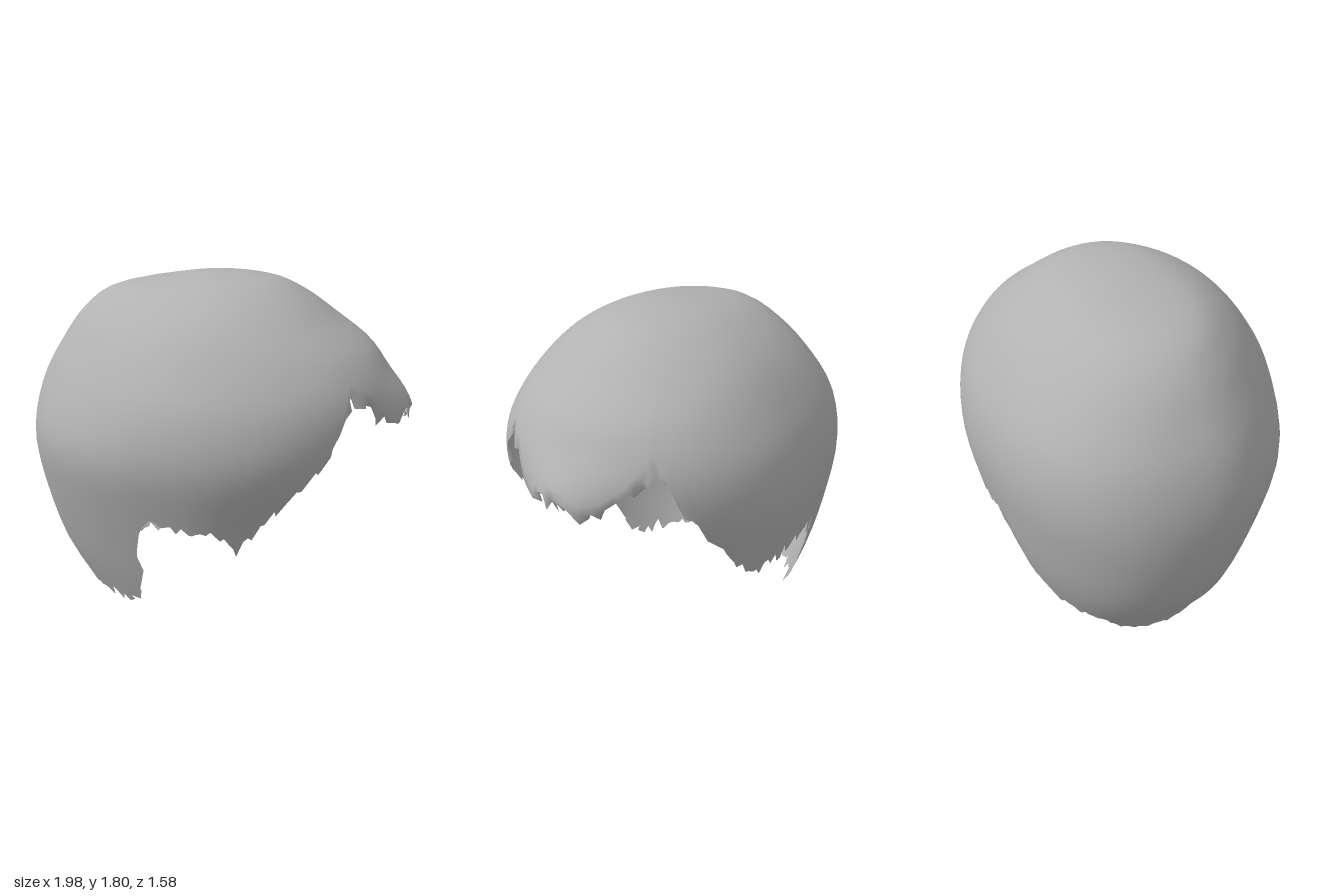
import * as THREE from 'three';

const TOP = 1.803, COLS = 180, ROWS = 30, STEP = 0.15;
const { smoothstep, lerp, radToDeg } = THREE.MathUtils;

// Reach of each horizontal section; knots are evenly spaced in u = sqrt(TOP - y)
const BACK = [0, 0.23, 0.56, 0.72, 0.835, 0.945, 0.998, 0.98, 0.89, 0.68];
const FRONT = [0, 0.27, 0.43, 0.59, 0.79, 0.885, 0.84, 0.66, 0.52, 0.45];
const SIDE = [0, 0.21, 0.375, 0.53, 0.655, 0.76, 0.79, 0.725, 0.625, 0.5];

// Height of the cut edge by angle from the forehead, for each side of the head
const NAPE = [[75, 0.64], [82, 0.67], [101, 0.69], [105, 0.56], [107, 0.42], [110, 0.26], [117, 0.16], [142, 0.14]];
const RIM_LEFT = [[0, 1.15], [5, 1.15], [9, 1.09], [15, 1.12], [22, 1.24], [33, 1.31], [36, 1.2], [40, 1.06],
  [46, 0.9], [54, 0.76], [61, 0.62], [67, 0.56], ...NAPE, [155, 0.11], [168, 0.05], [180, 0.02]];
const RIM_RIGHT = [[0, 1.15], [6, 1.14], [12, 1.09], [18, 1.11], [25, 1.18], [34, 1.32], [39, 1.2], [46, 1.0],
  [54, 0.8], [61, 0.66], [67, 0.6], ...NAPE, [152, 0.06], [166, 0.03], [180, 0.02]];

function knots(table, u) {
  const n = table.length - 1;
  const i = Math.min(Math.floor(u / STEP), n - 1), f = u / STEP - i;
  const a = i ? table[i - 1] : -table[1], b = table[i], c = table[i + 1], d = table[Math.min(i + 2, n)];
  return b + 0.5 * f * (c - a + f * (2 * a - 5 * b + 4 * c - d + f * (3 * (b - c) + d - a)));
}

function rimHeight(angle) {
  const deg = Math.abs(radToDeg(angle));
  const rim = angle >= 0 ? RIM_LEFT : RIM_RIGHT;
  let i = 0;
  while (i < rim.length - 2 && deg > rim[i + 1][0]) i++;
  const [d0, y0] = rim[i], [d1, y1] = rim[i + 1];
  return lerp(y0, y1, Math.min(1, (deg - d0) / (d1 - d0)));
}

// The rear quarters differ: fuller on the right, flatter high on the left
function rearQuarter(a, c, s, u) {
  if (c > 0) return 0;
  const amount = s < 0
    ? 0.06 * smoothstep(u, 0.3, 0.7)
    : -0.045 * smoothstep(u, 0.2, 0.45) * (1 - smoothstep(u, 0.7, 0.95));
  return amount * Math.sin(2 * a) ** 2;
}

function shellPoint(a, u) {
  const c = Math.cos(a), s = Math.sin(a);
  // the fringe juts out over the forehead, a little to the right
  const fringe = 0.115 * Math.exp(-(((a + 0.1) / 0.34) ** 2)) * smoothstep(u, 0.65, 0.85);
  const reach = c > 0 ? knots(FRONT, u) + fringe : knots(BACK, u);
  // soft waves in the hair
  const wave = 0.005 * Math.sin(5 * a + 4 * u) * Math.sin(7 * u) * Math.abs(s);
  const swell = 1 + rearQuarter(a, c, s, u) + wave;
  // the nape leans to the right
  const lean = -0.037 * smoothstep(u, 0.85, 1.2);
  return [c * reach * swell, TOP - u * u, s * knots(SIDE, u) * swell + lean];
}

function seeded(seed) {
  return () => (seed = (seed * 16807) % 2147483647) / 2147483647;
}

function hairGeometry() {
  const random = seeded(41);
  const pos = [0, TOP, 0], index = [];
  for (let j = 0; j < COLS; j++) {
    const a = (j / COLS) * Math.PI * 2 - Math.PI;
    const y = rimHeight(a), deg = Math.abs(radToDeg(a));
    // ragged strand ends, longer at the sides than at the nape
    const rag = deg > 135 ? 0.025 : 0.085;
    const end = Math.max(0, y + (random() - 0.55) * rag);
    const sway = (random() - 0.5) * (deg > 100 && deg < 120 ? 0.1 : 0.02);
    const uRim = Math.sqrt(TOP - y - 0.025);
    for (let i = 1; i <= ROWS; i++) {
      const last = i === ROWS;
      const p = last ? shellPoint(a + sway, Math.sqrt(TOP - end)) : shellPoint(a, uRim * i / (ROWS - 1));
      if (last && deg < 38) {
        // fringe ends curl under
        const curl = 1 - 0.04 * random();
        p[0] *= curl;
        p[2] *= curl;
      }
      pos.push(...p);
    }
  }
  const id = (j, i) => 1 + (j % COLS) * ROWS + i;
  for (let j = 0; j < COLS; j++) {
    index.push(0, id(j + 1, 0), id(j, 0));
    for (let i = 0; i < ROWS - 1; i++) {
      index.push(id(j, i), id(j + 1, i), id(j, i + 1));
      index.push(id(j + 1, i), id(j + 1, i + 1), id(j, i + 1));
    }
  }
  const geometry = new THREE.BufferGeometry();
  geometry.setAttribute('position', new THREE.Float32BufferAttribute(pos, 3));
  geometry.setIndex(index);
  geometry.computeVertexNormals();
  return geometry;
}

export function createModel() {
  const group = new THREE.Group();
  group.name = 'hairpiece';
  const material = new THREE.MeshStandardMaterial({ color: 0xb2b2b2, side: THREE.DoubleSide });
  material.name = 'hair grey';
  const hair = new THREE.Mesh(hairGeometry(), material);
  hair.name = 'hairShell';
  group.add(hair);
  return group;
}
